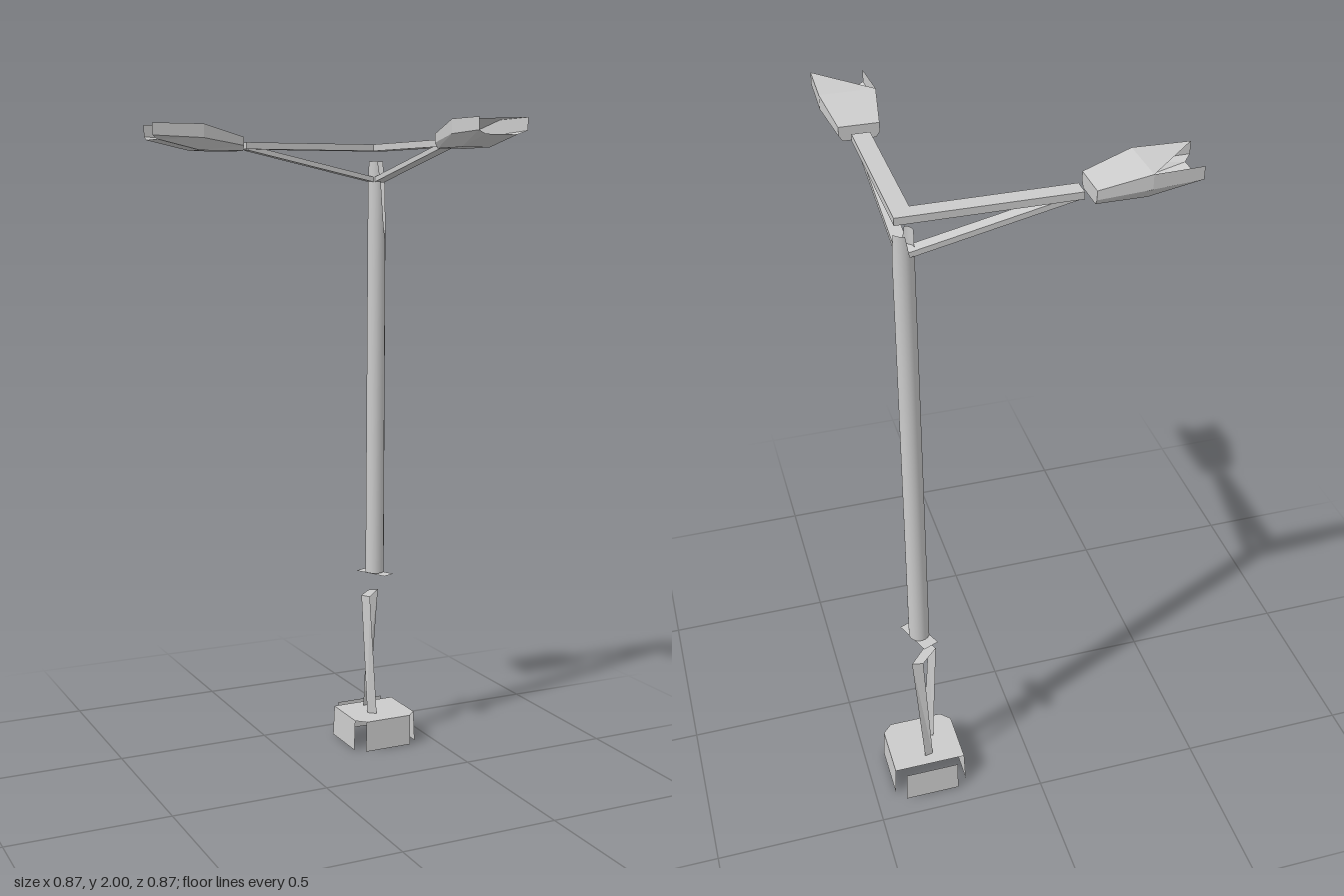
import * as THREE from 'three';

const grey = new THREE.MeshStandardMaterial({ color: 0xcccccc, side: THREE.DoubleSide });
const flat = new THREE.MeshStandardMaterial({ color: 0xcccccc, side: THREE.DoubleSide, flatShading: true });

// Mesh from flat polygons, each a list of [x, y, z] corners split into a fan
function panels(name, polygons) {
  const positions = [];
  for (const p of polygons) {
    for (let i = 1; i < p.length - 1; i++) positions.push(...p[0], ...p[i], ...p[i + 1]);
  }
  const geometry = new THREE.BufferGeometry();
  geometry.setAttribute('position', new THREE.Float32BufferAttribute(positions, 3));
  geometry.computeVertexNormals();
  const mesh = new THREE.Mesh(geometry, flat);
  mesh.name = name;
  return mesh;
}

// Chamfered base: four separate walls and a top plate open along its rear edge
function createBase() {
  const base = new THREE.Group();
  base.name = 'base';
  const r = 0.108, c = 0.08, h = 0.1;
  for (let i = 0; i < 4; i++) {
    const wall = panels('baseWall', [[[-c - 0.004, 0, r + 0.003], [c, 0, r + 0.003], [c, h, r], [-c, h, r]]]);
    wall.rotation.y = i * Math.PI / 2;
    base.add(wall);
  }
  base.add(panels('baseTop', [[[-c, h, r], [c, h, r], [r, h, c], [r, h, -c], [-r, h, -c], [-r, h, c]]]));
  return base;
}

// Two slender struts joined by a cap plate
function createStruts() {
  const lo = 0.1, hi = 0.5;
  const left = [[-0.037, lo, 0.026], [-0.013, lo, 0.047], [-0.034, hi, 0.034], [-0.049, hi, 0.002]];
  const rear = [[-0.018, lo, -0.042], [0.007, lo, -0.047], [0.034, hi, -0.042], [0.002, hi, -0.048]];
  const group = new THREE.Group();
  group.name = 'lowerStruts';
  group.add(panels('leftStrut', [left]), panels('rearStrut', [rear]));
  group.add(panels('strutCap', [[left[3], left[2], rear[2], rear[3]]]));
  return group;
}

// Tube with a pointed notch at its top
function createPole() {
  const group = new THREE.Group();
  group.name = 'pole';
  const bottom = 0.575, top = 1.9;
  const geometry = new THREE.CylinderGeometry(0.028, 0.03, top - bottom, 16, 1, true);
  geometry.translate(0, (top + bottom) / 2, 0);
  const p = geometry.attributes.position;
  for (let i = 0; i < p.count; i++) {
    if (p.getY(i) < 1) continue;
    const toward = (p.getX(i) + p.getZ(i)) / Math.SQRT2 / 0.028;
    if (toward > 0.6) p.setY(i, 1.83 - Math.max(0, toward - 0.75) * 0.7);
    else if (toward < -0.9) p.setY(i, 1.84);
  }
  const tube = new THREE.Mesh(geometry, grey);
  tube.name = 'poleTube';
  const y = bottom - 0.003;
  group.add(tube, panels('poleFoot', [
    [[-0.045, y, -0.045], [0, y, -0.064], [0.045, y, 0.045], [0.004, y, 0.062]]]));
  return group;
}

// Lamp shell lofted along z, open at the far end and over one corner of its top
function createLampHead() {
  const section = (z, top, side, bottom, wide, narrow, skew = 0) => [
    [-wide, top, z], [wide, top, z + skew], [wide, side, z + skew],
    [narrow, bottom, z], [-narrow, bottom, z], [-wide, side, z]];
  const sections = [
    section(0.47, 1.965, 1.94, 1.925, 0.055, 0.045),
    section(0.605, 2.0, 1.96, 1.925, 0.077, 0.045),
    section(0.74, 2.0, 1.965, 1.955, 0.07, 0.05, 0.02)];
  const faces = [sections[0]];
  for (let s = 0; s < 2; s++) {
    const a = sections[s], b = sections[s + 1];
    for (let i = 0; i < 6; i++) {
      const j = (i + 1) % 6;
      faces.push(s === 1 && i === 0 ? [a[0], b[1], a[1]] : [a[i], b[i], b[j], a[j]]);
    }
  }
  return panels('lampHead', faces);
}

// Horizontal bar, sloping brace and lamp
function createArm() {
  const arm = new THREE.Group();
  arm.name = 'lampArm';
  const bar = new THREE.Mesh(new THREE.BoxGeometry(0.05, 0.02, 0.475), flat);
  bar.name = 'armBar';
  bar.position.set(0, 1.941, 0.2125);
  const rise = 0.093, run = 0.43;
  const brace = new THREE.Mesh(new THREE.BoxGeometry(0.036, 0.015, Math.hypot(rise, run)), flat);
  brace.name = 'armBrace';
  brace.position.set(0, 1.842 + rise / 2, run / 2 + 0.01);
  brace.rotation.x = -Math.atan2(rise, run);
  arm.add(bar, brace, createLampHead());
  return arm;
}

export function createModel() {
  const model = new THREE.Group();
  model.name = 'streetLamp';
  const post = new THREE.Group();
  post.name = 'post';
  post.position.set(0.328, 0, -0.33);
  post.add(createBase(), createStruts(), createPole());

  // Two arms at right angles
  for (const angle of [0, -Math.PI / 2]) {
    const arm = createArm();
    arm.rotation.y = angle;
    post.add(arm);
  }
  model.add(post);
  return model;
}
